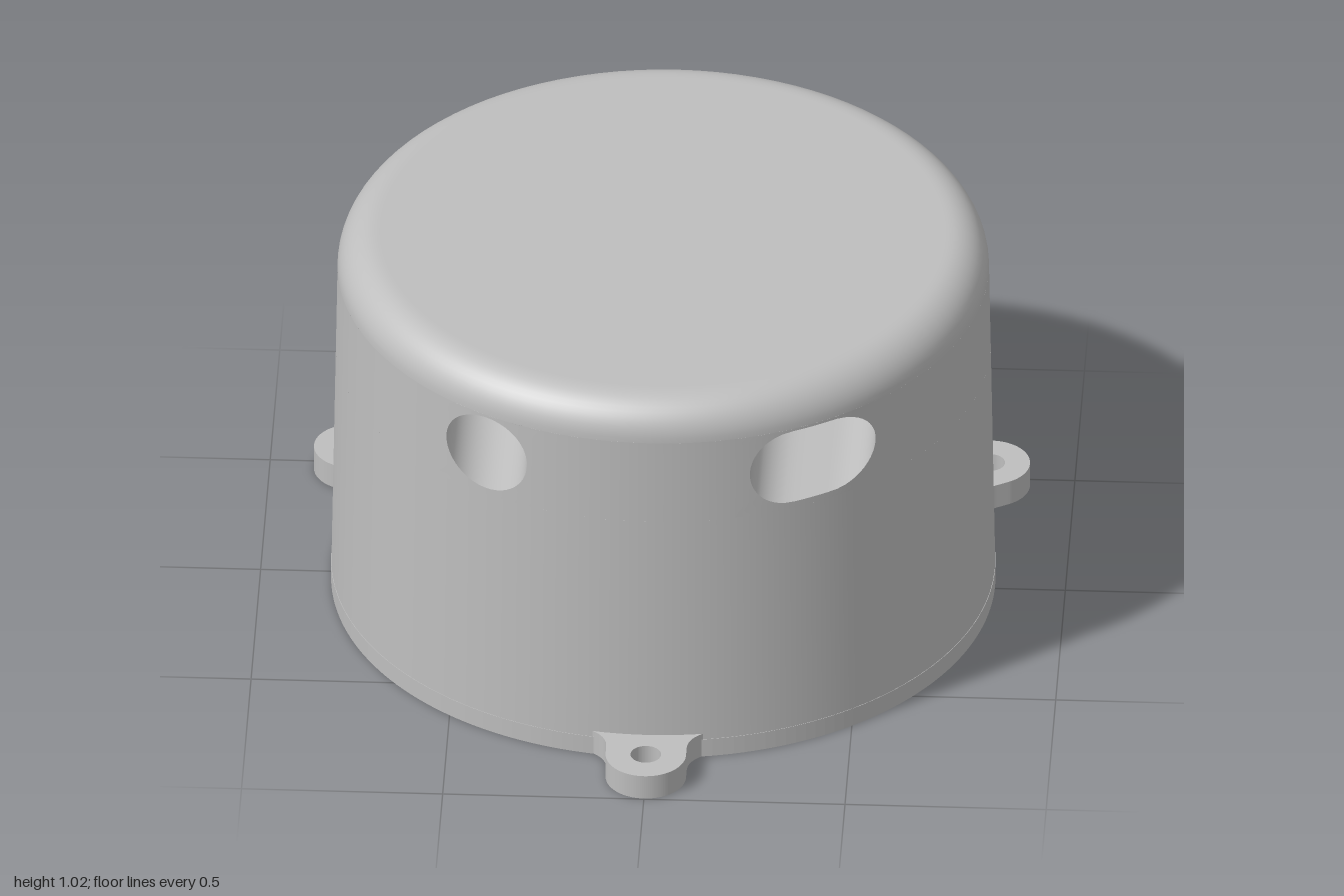
import * as THREE from 'three';

const housing = new THREE.MeshStandardMaterial({ color: 0xbebebe, side: THREE.DoubleSide });
housing.name = 'housing grey';

const TAU = Math.PI * 2;
const Y0 = 0.05, LOW = 0.69, HIGH = 0.92;   // base plate top, window band limits
const FLOOR_Z = 0.05;                       // depth of the window pockets
const radiusAt = (y) => 0.825 - 0.016 * (y / HIGH);

function add(parent, name, geometry) {
  const mesh = new THREE.Mesh(geometry, housing);
  mesh.name = name;
  parent.add(mesh);
  return mesh;
}

// Flat outline in plan, raised upwards
function slab(shape, height) {
  const g = new THREE.ExtrudeGeometry(shape, { depth: height, bevelEnabled: false, curveSegments: 32 });
  return g.rotateX(-Math.PI / 2);
}

function circlePath(x, y, r) {
  return new THREE.Path().absarc(x, y, r, 0, TAU, true);
}

// Skin between successive closed loops of equal length
function skin(loops) {
  const n = loops[0].length, index = [];
  for (let j = 0; j < loops.length - 1; j++) {
    for (let i = 0; i < n; i++) {
      const a = j * n + i, b = j * n + (i + 1) % n;
      index.push(a, b, b + n, a, b + n, a + n);
    }
  }
  const g = new THREE.BufferGeometry().setFromPoints(loops.flat());
  g.setIndex(index);
  g.computeVertexNormals();
  return g;
}

// Wall patch with a rounded window and the pocket behind it
function windowPatch(parent, name, x0, x1, y, r, phi0, phi1) {
  const steps = 14, rim = [], hole = [];
  const corners = [[phi0, LOW], [phi1, LOW], [phi1, HIGH], [phi0, HIGH]];
  corners.forEach((c, k) => {
    const d = corners[(k + 1) % 4];
    for (let i = 0; i < steps; i++) {
      const t = i / steps;
      rim.push([c[0] + (d[0] - c[0]) * t, c[1] + (d[1] - c[1]) * t]);
    }
  });
  for (const [phi, py] of rim) {
    const px = Math.sin(phi) * radiusAt(py);
    const cx = Math.min(Math.max(px, x0), x1);
    const len = Math.hypot(px - cx, py - y);
    hole.push(new THREE.Vector2(cx + r * (px - cx) / len, y + r * (py - y) / len));
  }
  const loops = [];
  for (let j = 0; j <= 4; j++) {
    loops.push(rim.map(([phi, py], i) => {
      const h = hole[i], t = j / 4;
      const yy = py + (h.y - py) * t;
      const p = phi + (Math.asin(h.x / radiusAt(h.y)) - phi) * t;
      return new THREE.Vector3(Math.sin(p) * radiusAt(yy), yy, Math.cos(p) * radiusAt(yy));
    }));
  }
  add(parent, name + 'Surround', skin(loops));
  const back = hole.map((h) => new THREE.Vector3(h.x, h.y, FLOOR_Z));
  add(parent, name + 'PocketWall', skin([loops[4], back]));
  add(parent, name + 'PocketFloor', new THREE.ShapeGeometry(new THREE.Shape(hole))).position.z = FLOOR_Z;
}

export function createModel() {
  const model = new THREE.Group();
  model.name = 'roundHousing';
  const body = new THREE.Group();
  body.name = 'body';
  body.position.z = -0.015;
  model.add(body);

  // Base plate with three blind screw holes
  const base = new THREE.Shape().absarc(0, 0, 0.825, 0, TAU, false);
  for (let k = 0; k < 3; k++) {
    const a = Math.PI / 2 + k * TAU / 3;
    base.holes.push(circlePath(0.475 * Math.cos(a), 0.475 * Math.sin(a), 0.035));
  }
  const plate = new THREE.ExtrudeGeometry(base, { depth: Y0, bevelEnabled: false, curveSegments: 96 });
  add(body, 'basePlate', plate.rotateX(-Math.PI / 2));
  add(body, 'screwHoleFloor', new THREE.CircleGeometry(0.8, 48).rotateX(Math.PI / 2)).position.y = Y0;

  // Tapered lower wall
  const V = (x, y) => new THREE.Vector2(x, y);
  add(body, 'lowerWall', new THREE.LatheGeometry([V(radiusAt(Y0), Y0), V(radiusAt(LOW), LOW)], 96));

  // Rounded top
  const top = [];
  for (let i = 0; i <= 12; i++) {
    const a = i / 12 * Math.PI / 2;
    top.push(V(0.709 + 0.1 * Math.cos(a), HIGH + 0.102 * Math.sin(a)));
  }
  top.push(V(0.7, 1.022), V(0, 1.022));
  add(body, 'roundedTop', new THREE.LatheGeometry(top, 96));

  // Window band: two patches with plain wall between them
  const a0 = -0.72, a1 = -0.34, b0 = 0.27, b1 = 0.8;
  for (const [from, to] of [[a1, b0], [b1, a0 + TAU]]) {
    const profile = [V(radiusAt(LOW), LOW), V(radiusAt(HIGH), HIGH)];
    const segments = Math.ceil((to - from) / TAU * 96);
    add(body, 'upperWall', new THREE.LatheGeometry(profile, segments, from, to - from));
  }
  windowPatch(body, 'roundWindow', -0.406, -0.406, 0.81, 0.103, a0, a1);
  windowPatch(body, 'slotWindow', 0.355, 0.453, 0.81, 0.103, b0, b1);

  // Three mounting ears with flared roots
  for (let k = 0; k < 3; k++) {
    const ear = new THREE.Shape();
    ear.moveTo(0.74, -0.16);
    ear.lineTo(0.8, -0.16);
    ear.quadraticCurveTo(0.825, -0.1, 0.88, -0.1);
    ear.lineTo(0.912, -0.1);
    ear.absarc(0.912, 0, 0.1, -Math.PI / 2, Math.PI / 2, false);
    ear.lineTo(0.88, 0.1);
    ear.quadraticCurveTo(0.825, 0.1, 0.8, 0.16);
    ear.lineTo(0.74, 0.16);
    ear.holes.push(circlePath(0.912, 0, 0.038));
    const mesh = add(body, 'mountingEar', slab(ear, 0.066));
    mesh.rotation.y = -Math.PI / 2 + k * TAU / 3;
  }

  // Rear cable connector
  add(model, 'connectorBlock', new THREE.BoxGeometry(0.31, 0.155, 0.088)).position.set(0, 0.152, -0.842);
  const pin = new THREE.CylinderGeometry(0.055, 0.055, 0.13, 32).rotateX(Math.PI / 2);
  add(model, 'connectorPin', pin).position.set(0, 0.15, -0.935);

  return model;
}
